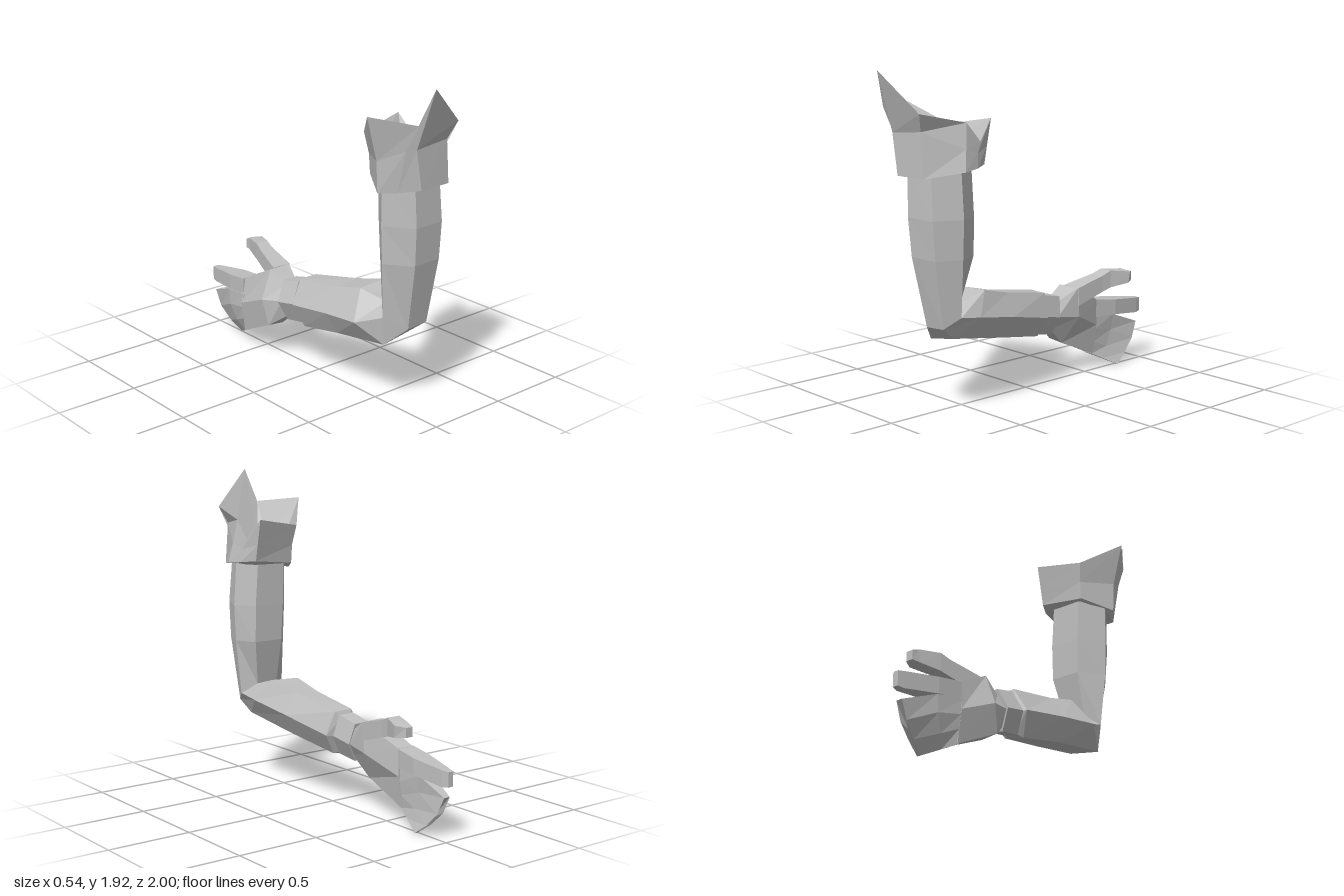
import * as THREE from 'three';

const grey = new THREE.MeshStandardMaterial({ color: 0xc0c0c0, flatShading: true });
grey.name = 'plainGrey';

// Skin a list of equal-length rings, close both ends, and face the result outward.
function loft(name, rings) {
  const tris = [];
  const n = rings[0].length;
  for (let r = 0; r < rings.length - 1; r++) {
    for (let i = 0; i < n; i++) {
      const j = (i + 1) % n;
      const a = rings[r][i], b = rings[r][j], c = rings[r + 1][j], d = rings[r + 1][i];
      tris.push([a, b, c], [a, c, d]);
    }
  }
  const cap = (ring, flip) => {
    const mid = [0, 1, 2].map(k => ring.reduce((s, p) => s + p[k], 0) / n);
    ring.forEach((p, i) => {
      const q = ring[(i + 1) % n];
      tris.push(flip ? [q, p, mid] : [p, q, mid]);
    });
  };
  cap(rings[0], true);
  cap(rings[rings.length - 1], false);

  const v = p => new THREE.Vector3(...p);
  const volume = tris.reduce((s, [a, b, c]) => s + v(a).dot(v(b).cross(v(c))), 0);
  if (volume < 0) tris.forEach(t => t.reverse());
  const geo = new THREE.BufferGeometry();
  geo.setAttribute('position', new THREE.Float32BufferAttribute(tris.flat(2), 3));
  geo.computeVertexNormals();
  const mesh = new THREE.Mesh(geo, grey);
  mesh.name = name;
  return mesh;
}

// Four-cornered section across z: x and y ranges.
const box = (x0, x1, y0, y1, z) => [[x0, y0, z], [x1, y0, z], [x1, y1, z], [x0, y1, z]];

// Six-sided wrist section; z leans forward towards the bottom.
const wristRing = (x0, x1, y0, y1, z) => {
  const w = x1 - x0, m = (y0 + y1) / 2;
  return [
    [x0 + w * 0.3, y0, z + 0.04], [x1 - w * 0.3, y0 + 0.01, z + 0.04], [x1, m, z + 0.02],
    [x1 - w * 0.15, y1, z], [x0 + w * 0.32, y1, z], [x0, m, z + 0.02],
  ];
};

export function createModel() {
  const group = new THREE.Group();
  group.name = 'bentArm';

  // Upper arm: front pair, right corner, back pair, left corner
  const elbow = [[0.01, 0.5, 0.75], [0.15, 0.51, 0.75], [0.2, 0.57, 0.66],
    [0.12, 0.63, 0.6], [-0.02, 0.63, 0.6], [-0.1, 0.57, 0.66]];
  const armRing = (y, fl, fr, right, left, front, back) => [
    [fl, y, front], [fr, y, front - 0.01], [right, y, 0.67],
    [fr, y, back], [fl, y, back], [left, y, 0.68]];
  group.add(loft('upperArm', [
    armRing(1.4, -0.04, 0.15, 0.22, -0.14, 0.83, 0.54),
    armRing(1.12, -0.03, 0.17, 0.24, -0.14, 0.84, 0.54),
    armRing(0.9, -0.02, 0.17, 0.23, -0.13, 0.825, 0.545),
    elbow,
  ]));

  // Forearm
  group.add(loft('forearm', [
    elbow,
    [[-0.08, 0.4, 0.65], [0.13, 0.44, 0.66], [0.2, 0.55, 0.52],
      [0.13, 0.68, 0.43], [-0.06, 0.67, 0.43], [-0.17, 0.51, 0.5]],
    [[-0.09, 0.35, 0.27], [0.09, 0.37, 0.27], [0.165, 0.5, 0.24],
      [0.1, 0.63, 0.23], [-0.06, 0.62, 0.23], [-0.155, 0.48, 0.24]],
    [[-0.08, 0.29, -0.04], [0.04, 0.31, -0.06], [0.11, 0.43, -0.08],
      [0.06, 0.57, -0.1], [-0.06, 0.57, -0.1], [-0.14, 0.43, -0.08]],
    wristRing(-0.1, 0.05, 0.31, 0.53, -0.12),
  ]));

  // Wrist cuff
  group.add(loft('wristCuff', [
    wristRing(-0.125, 0.07, 0.3, 0.55, -0.115),
    wristRing(-0.13, 0.06, 0.28, 0.52, -0.25),
  ]));

  // Palm
  group.add(loft('palm', [
    wristRing(-0.11, 0.05, 0.31, 0.49, -0.24),
    [[-0.13, 0.22, -0.32], [-0.02, 0.21, -0.32], [0.07, 0.38, -0.38],
      [0.07, 0.56, -0.37], [-0.08, 0.56, -0.36], [-0.15, 0.38, -0.36]],
    [[-0.1, 0.09, -0.6], [-0.03, 0.09, -0.6], [0, 0.28, -0.6],
      [0, 0.44, -0.6], [-0.1, 0.44, -0.6], [-0.125, 0.28, -0.6]],
  ]));

  // Thumb
  group.add(loft('thumb', [
    box(-0.05, 0.075, 0.45, 0.56, -0.37),
    box(0, 0.09, 0.51, 0.61, -0.56),
    box(0.015, 0.1, 0.53, 0.635, -0.62),
    [[0.055, 0.55, -0.74], [0.145, 0.55, -0.73], [0.15, 0.62, -0.74], [0.06, 0.625, -0.75]],
    [[0.065, 0.555, -0.79], [0.11, 0.555, -0.79], [0.11, 0.61, -0.79], [0.065, 0.61, -0.79]],
  ]));

  // Straight finger
  group.add(loft('indexFinger', [
    box(-0.115, 0, 0.33, 0.44, -0.59),
    box(-0.1, 0.02, 0.325, 0.42, -0.75),
    box(-0.055, 0, 0.3, 0.395, -0.96),
    box(-0.045, -0.01, 0.305, 0.39, -1),
  ]));

  // Grouped lower fingers: a fan of [outer x, inner x, y, z] rows
  const fan = rows => [
    ...rows.map(([x, , y, z]) => [x, y, z]),
    ...rows.map(([, x, y, z]) => [x, y, z]).reverse(),
  ];
  group.add(loft('lowerFingers', [
    fan([[-0.12, -0.01, 0.34, -0.58], [-0.12, -0.01, 0.25, -0.6],
      [-0.11, -0.02, 0.17, -0.6], [-0.1, -0.03, 0.09, -0.59]]),
    fan([[-0.1, -0.01, 0.32, -0.76], [-0.1, -0.02, 0.22, -0.75],
      [-0.08, -0.02, 0.12, -0.71], [-0.05, -0.01, 0.05, -0.67]]),
    fan([[-0.05, -0.01, 0.24, -0.97], [-0.045, 0, 0.14, -0.925],
      [-0.025, 0.01, 0.06, -0.85], [0, 0.025, 0, -0.77]]),
  ]));

  // Torn sleeve: jagged rim with a sunken inside
  const hem = [[-0.05, 1.35, 0.89], [0.16, 1.35, 0.88], [0.27, 1.38, 0.68], [0.25, 1.39, 0.58],
    [0.2, 1.4, 0.49], [-0.08, 1.37, 0.52], [-0.19, 1.32, 0.7], [-0.13, 1.33, 0.79]];
  const middle = [[-0.09, 1.58, 0.89], [0.14, 1.6, 0.88], [0.25, 1.5, 0.66], [0.24, 1.47, 0.57],
    [0.2, 1.5, 0.47], [-0.08, 1.48, 0.51], [-0.2, 1.5, 0.7], [-0.13, 1.57, 0.85]];
  const rim = [[-0.07, 1.92, 1], [0.18, 1.7, 0.92], [0.23, 1.64, 0.64], [0.23, 1.53, 0.54],
    [0.2, 1.65, 0.44], [-0.1, 1.6, 0.49], [-0.27, 1.75, 0.7], [-0.115, 1.72, 0.93]];
  const shrink = (ring, s, y) =>
    ring.map(p => [0.04 + (p[0] - 0.04) * s, y, 0.69 + (p[2] - 0.69) * s]);
  group.add(loft('sleeve', [
    shrink(hem, 0.72, 1.37), hem, middle, rim,
    shrink(middle, 0.82, 1.5), shrink(middle, 0.74, 1.46), shrink(middle, 0.5, 1.43),
  ]));

  return group;
}
